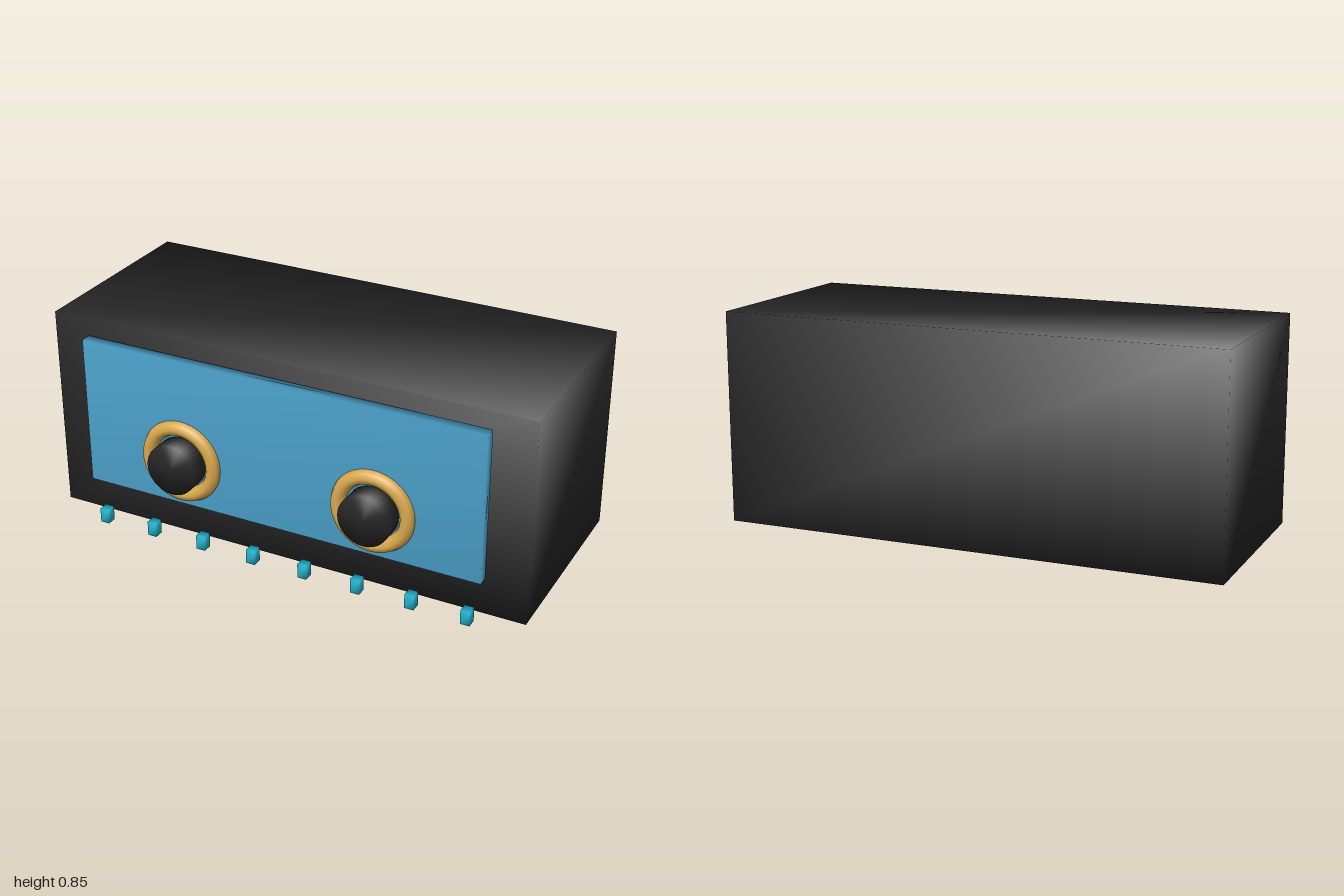
import * as THREE from 'three';
import { mergeVertices } from 'three/addons/utils/BufferGeometryUtils.js';

function material(name, color) {
  const m = new THREE.MeshStandardMaterial({ color });
  m.name = name;
  return m;
}

// Share corners between faces so the shading runs smoothly over the edges
function weld(geometry) {
  geometry.deleteAttribute('normal');
  geometry.deleteAttribute('uv');
  const welded = mergeVertices(geometry, 1e-4);
  welded.computeVertexNormals();
  return welded;
}

export function createModel() {
  const model = new THREE.Group();
  const black = material('black', 0x262626);
  const blue = material('panel blue', 0x4a9fc8);
  const gold = material('gold', 0xdaa94e);
  const cyan = material('cyan', 0x22bcd8);

  function add(name, geometry, mat, x, y, z) {
    const mesh = new THREE.Mesh(geometry, mat);
    mesh.name = name;
    mesh.position.set(x, y, z);
    model.add(mesh);
  }

  // Cabinet and the panel floating just in front of it
  add('cabinet', weld(new THREE.BoxGeometry(2, 0.836, 0.82)), black, 0, 0.435, -0.07);
  add('frontPanel', weld(new THREE.BoxGeometry(1.676, 0.612, 0.044)), blue, 0, 0.484, 0.376);

  // Two knobs, each inside a ring
  const ring = new THREE.TorusGeometry(0.141, 0.03, 8, 48);
  const knob = weld(new THREE.CylinderGeometry(0.105, 0.105, 0.09, 32).rotateX(Math.PI / 2));
  for (const [side, x] of [['right', -0.41], ['left', 0.405]]) {
    add(side + 'Ring', ring, gold, x, 0.368, 0.4);
    add(side + 'Knob', knob, black, x, 0.366, 0.435);
  }

  // Row of small pegs along the lower front edge
  const peg = weld(new THREE.BoxGeometry(0.038, 0.06, 0.04));
  for (let i = 0; i < 8; i++) {
    add('peg' + (i + 1), peg, cyan, -0.777 + i * 0.2243, 0.03, 0.4);
  }
  return model;
}
